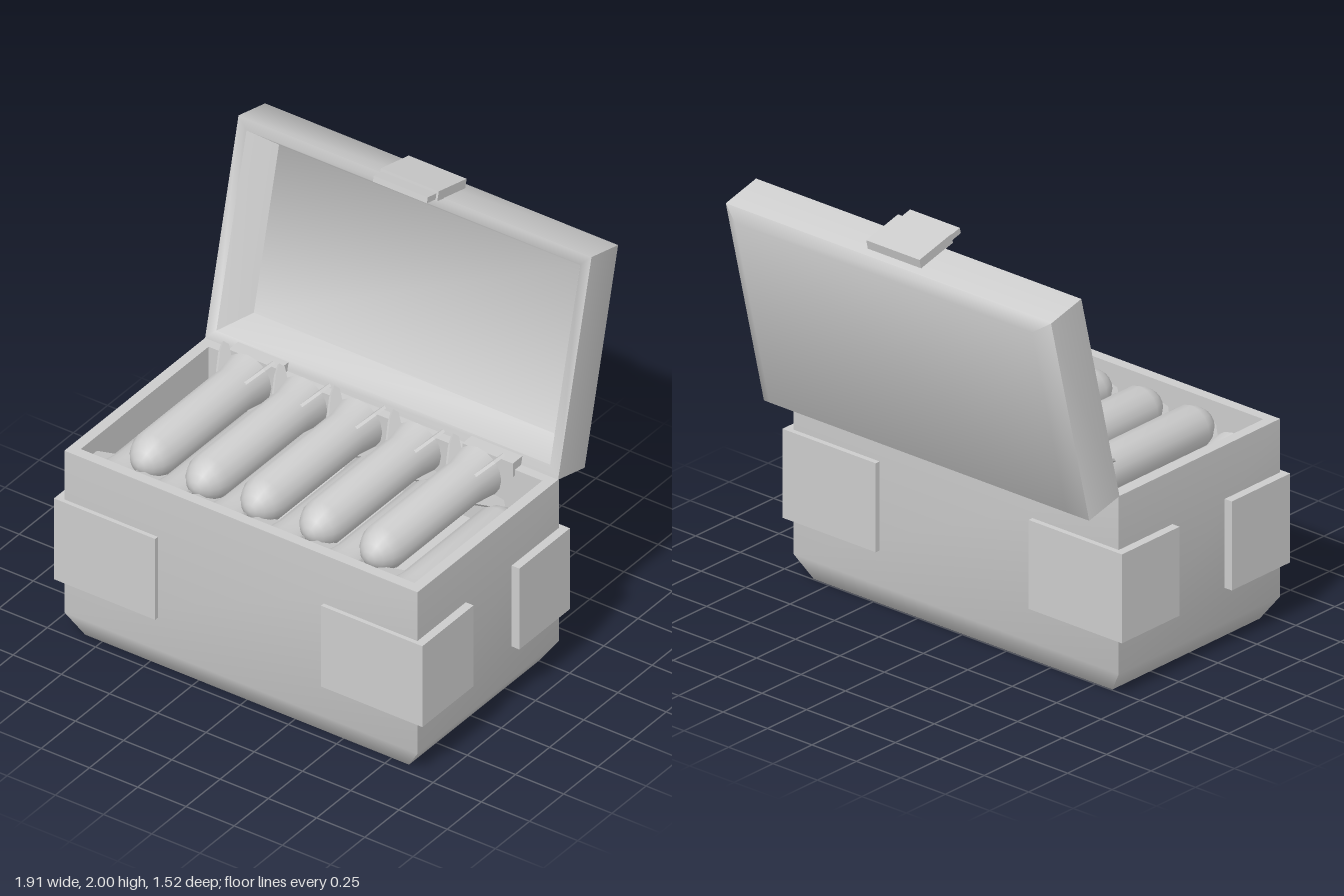
import * as THREE from 'three';
import { toCreasedNormals } from 'three/addons/utils/BufferGeometryUtils.js';

const material = new THREE.MeshStandardMaterial({ color: 0xcccccc, side: THREE.DoubleSide });

function mesh(name, geometry, parent) {
  const m = new THREE.Mesh(geometry, material);
  m.name = name;
  parent.add(m);
  return m;
}

// Box given by its extents on each axis
function box(name, [x0, x1], [y0, y1], [z0, z1], parent) {
  const g = new THREE.BoxGeometry(x1 - x0, y1 - y0, z1 - z0);
  g.translate((x0 + x1) / 2, (y0 + y1) / 2, (z0 + z1) / 2);
  return mesh(name, g, parent);
}

// Joins rectangular rings [halfWidth, y, z0, z1], with a cap on the first and last
function shell(rings) {
  const positions = [], index = [];
  for (const [w, y, z0, z1] of rings) positions.push(-w, y, z1, w, y, z1, w, y, z0, -w, y, z0);
  for (let i = 0; i < rings.length - 1; i++) {
    for (let k = 0; k < 4; k++) {
      const a = i * 4 + k, b = i * 4 + (k + 1) % 4;
      index.push(a, b, b + 4, a, b + 4, a + 4);
    }
  }
  const e = (rings.length - 1) * 4;
  index.push(0, 3, 2, 0, 2, 1, e, e + 1, e + 2, e, e + 2, e + 3);
  const g = new THREE.BufferGeometry();
  g.setAttribute('position', new THREE.Float32BufferAttribute(positions, 3));
  g.setIndex(index);
  return toCreasedNormals(g, 1.25);
}

// Finned shell: tail at the origin, nose along +z
const profile = [[0, 0], [0.1, 0], [0.122, 0.005], [0.105, 0.12], [0.105, 0.7], [0.088, 0.745],
  [0.062, 0.78], [0.03, 0.802], [0, 0.81]].map(([r, y]) => new THREE.Vector2(r, y));
const rocketGeometry = toCreasedNormals(new THREE.LatheGeometry(profile, 16).rotateX(Math.PI / 2), 0.7);

const finShape = new THREE.Shape([[0.09, 0.03], [0.165, -0.015], [0.19, 0], [0.165, 0.05], [0.095, 0.14]]
  .map(([r, y]) => new THREE.Vector2(r, y)));
const finGeometry = new THREE.ExtrudeGeometry(finShape, { depth: 0.014, bevelEnabled: false })
  .translate(0, 0, -0.007).rotateX(Math.PI / 2);

function rocket(x, y, z, turned, parent) {
  const g = new THREE.Group();
  g.name = 'rocket';
  mesh('rocketBody', rocketGeometry, g);
  for (let i = 0; i < 4; i++) mesh('rocketFin', finGeometry, g).rotation.z = Math.PI / 4 + i * Math.PI / 2;
  g.position.set(x, y, z);
  if (turned) g.rotation.y = Math.PI;
  parent.add(g);
}

export function createModel() {
  const model = new THREE.Group();
  model.name = 'ammoCrate';

  // Open crate with chamfered bottom
  mesh('crateBody', shell([
    [0.84, 0, -0.245, 0.7], [0.915, 0.11, -0.29, 0.745], [0.915, 0.94, -0.29, 0.745],
    [0.865, 0.94, -0.24, 0.695], [0.865, 0.6, -0.24, 0.695],
  ]), model);

  // Corner plates: one on each face of each corner
  const py = [0.275, 0.69];
  for (const s of [-1, 1]) {
    const span = (a, b) => (s > 0 ? [a, b] : [-b, -a]);
    box('frontCornerPlate', span(0.43, 0.955), py, [0.7, 0.765], model);
    box('backCornerPlate', span(0.43, 0.955), py, [-0.315, -0.25], model);
    box('sideFrontPlate', span(0.88, 0.955), py, [0.39, 0.765], model);
    box('sideBackPlate', span(0.88, 0.955), py, [-0.315, 0.055], model);
  }

  // Hinges
  for (const x of [-0.62, 0.592]) box('hinge', [x - 0.131, x + 0.131], [0.91, 0.98], [-0.298, -0.225], model);

  // Lid, leaning back on the hinge line; its opening faces local +y
  const lid = new THREE.Group();
  lid.name = 'lid';
  lid.position.set(0, 0.94, -0.285);
  lid.rotation.x = 1.332;
  mesh('lidShell', shell([
    [0.835, -0.245, -0.99, -0.045], [0.915, -0.2, -1.035, 0], [0.915, 0, -1.035, 0],
    [0.865, 0, -0.983, -0.052], [0.78, -0.14, -0.908, -0.127],
  ]), lid);
  box('latchPlate', [-0.15, 0.15], [-0.16, 0.05], [-1.079, -1.033], lid);
  box('latchTab', [-0.14, 0.14], [0.05, 0.115], [-1.066, -1.038], lid);
  model.add(lid);

  // Upper row points forward, lower row backward
  for (const x of [-0.63, -0.34, -0.055, 0.25, 0.562]) rocket(x, 0.895, -0.2, false, model);
  for (const x of [-0.755, -0.485, -0.2, 0.1, 0.405, 0.75]) rocket(x, 0.745, 0.63, true, model);

  return model;
}
